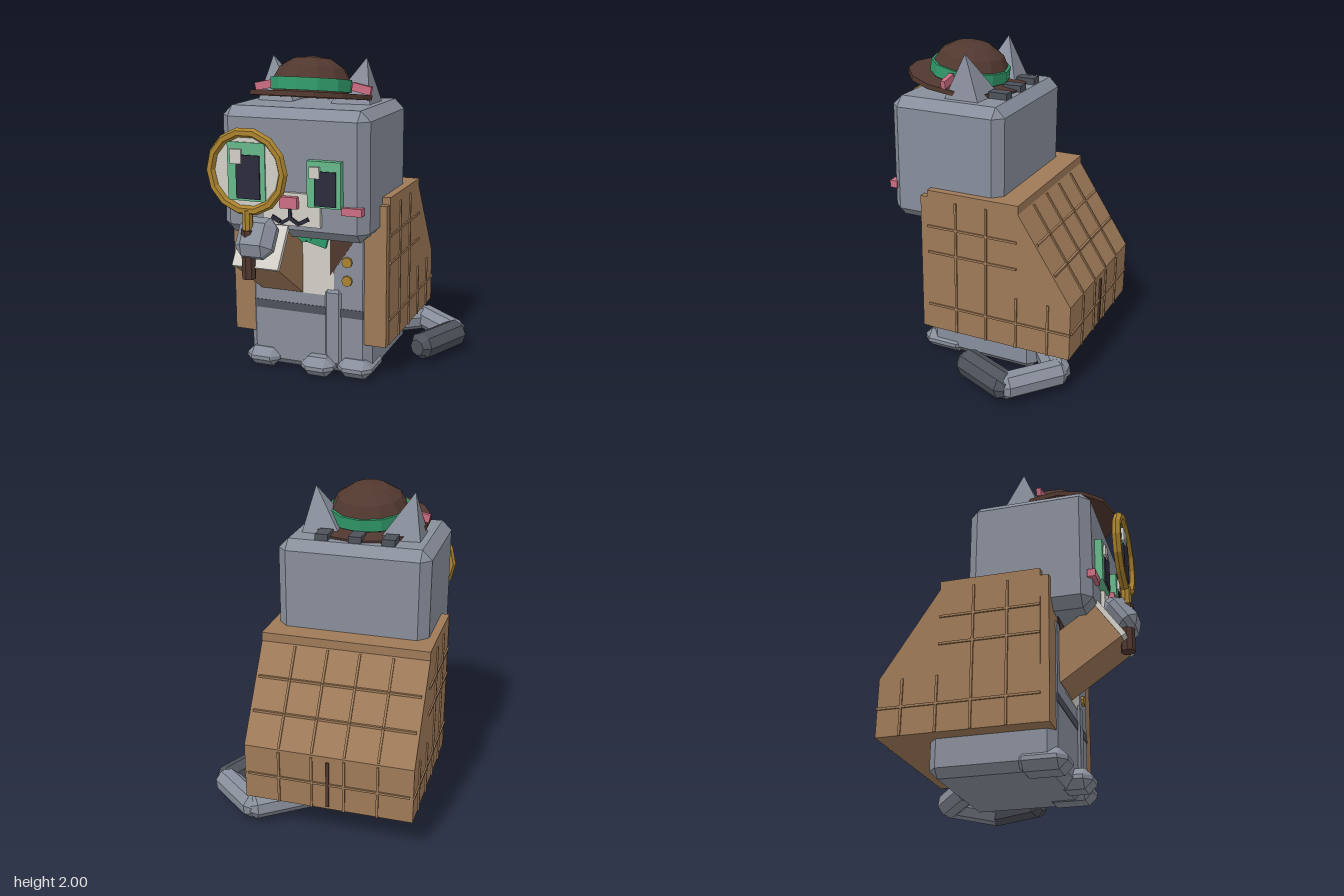
import * as THREE from 'three';
import { ConvexGeometry } from 'three/addons/geometries/ConvexGeometry.js';

const paint = (name, color) => {
  const m = new THREE.MeshStandardMaterial({ color });
  m.name = name;
  m.flatShading = true;
  return m;
};
const fur = paint('greyFur', 0x888e9b), darkFur = paint('darkFur', 0x4d525b);
const coat = paint('tanCoat', 0x9f7a58), brown = paint('darkBrown', 0x51382f);
const green = paint('green', 0x30996a), eyeGreen = paint('eyeGreen', 0x66b98a);
const cream = paint('cream', 0xd3d0c8), pink = paint('pink', 0xcd6d83);
const gold = paint('gold', 0xab832f), ink = paint('ink', 0x2c2b3c);

function add(parent, name, geo, mat, x = 0, y = 0, z = 0, rx = 0, ry = 0, rz = 0) {
  const m = new THREE.Mesh(geo, mat);
  m.name = name;
  m.position.set(x, y, z);
  m.rotation.set(rx, ry, rz);
  parent.add(m);
  return m;
}
const box = (w, h, d) => new THREE.BoxGeometry(w, h, d);
const cyl = (r, h, n) => new THREE.CylinderGeometry(r, r, h, n);

// Box with every edge and corner cut off by b
function chamferBox(w, h, d, b) {
  const pts = [];
  for (const i of [-1, 1]) for (const j of [-1, 1]) for (const k of [-1, 1]) {
    const x = w / 2, y = h / 2, z = d / 2;
    pts.push(new THREE.Vector3(i * x, j * (y - b), k * (z - b)),
      new THREE.Vector3(i * (x - b), j * y, k * (z - b)),
      new THREE.Vector3(i * (x - b), j * (y - b), k * z));
  }
  return new ConvexGeometry(pts);
}

// Eight-sided rod with bevelled ends
function rod(r, len) {
  const h = len / 2, p = [[0, -h], [0.6 * r, -h], [r, -h + 0.5 * r], [r, h - 0.5 * r], [0.6 * r, h], [0, h]];
  return new THREE.LatheGeometry(p.map(a => new THREE.Vector2(...a)), 8, Math.PI / 8);
}
function rodBetween(parent, name, mat, r, a, b) {
  const A = new THREE.Vector3(...a), B = new THREE.Vector3(...b), dir = B.clone().sub(A);
  const m = add(parent, name, rod(r, dir.length() + r), mat);
  m.position.copy(A).add(B).multiplyScalar(0.5);
  m.quaternion.setFromUnitVectors(new THREE.Vector3(0, 1, 0), dir.normalize());
}

// Blocky eye, scaled by width and height
function eye(parent, name, x, y, z, w, h, d) {
  const g = new THREE.Group();
  g.name = name;
  g.position.set(x, y, z);
  parent.add(g);
  add(g, 'iris', box(w, h, d), eyeGreen, 0, 0, d / 2);
  add(g, 'pupil', box(w * 0.63, h * 0.75, 0.009), ink, w * 0.05, -h * 0.085, d + 0.004);
  add(g, 'glint', box(w * 0.3, h * 0.25, 0.016), cream, -w * 0.25, h * 0.26, d + 0.01);
}

function buildHead(c) {
  add(c, 'head', chamferBox(0.94, 0.78, 0.755, 0.06), fur, 0, 1.33, 0.143);
  add(c, 'muzzle', box(0.37, 0.2, 0.03), cream, 0.005, 1.13, 0.53);
  add(c, 'nose', box(0.11, 0.07, 0.05), pink, 0, 1.175, 0.555);
  add(c, 'mouthMiddle', box(0.018, 0.06, 0.02), ink, 0, 1.105, 0.55);
  for (const s of [-1, 1]) {
    add(c, 'mouthInner', box(0.07, 0.02, 0.02), ink, s * 0.03, 1.06, 0.55, 0, 0, -s * 0.55);
    add(c, 'mouthOuter', box(0.06, 0.025, 0.02), ink, s * 0.09, 1.065, 0.55, 0, 0, s * 0.5);
    add(c, 'cheek', box(0.125, 0.047, 0.05), pink, s * 0.383, 1.142, 0.52);
    eye(c, 'eye', s * 0.22, 1.295, 0.52, 0.21, 0.275, 0.045);
    // Ear pyramids lean outwards
    const ear = new THREE.ConeGeometry(0.185, 0.3, 4);
    ear.rotateY(Math.PI / 4);
    add(c, 'ear', ear, fur, s * 0.28, 1.845, 0.075, 0, 0, -s * 0.2);
    add(c, 'innerEar', box(0.12, 0.05, 0.03), pink, s * 0.32, 1.815, 0.19, 0, 0, -s * 0.2);
  }
  for (const x of [-0.205, 0, 0.205])
    add(c, 'headStripe', box(0.08, 0.06, 0.12), darkFur, x, 1.73, -0.108);
}

function buildHat(c) {
  const hat = new THREE.Group();
  hat.name = 'hat';
  hat.position.set(0, 1.765, 0.205);
  hat.rotation.x = -0.14;
  c.add(hat);
  add(hat, 'brim', cyl(0.375, 0.03, 14), brown, 0, 0, 0.015);
  add(hat, 'band', cyl(0.252, 0.075, 12), green, 0, 0.062, 0);
  const p = [[0.235, 0], [0.235, 0.1], [0.2, 0.165], [0.115, 0.22], [0, 0.237]];
  add(hat, 'crown', new THREE.LatheGeometry(p.map(a => new THREE.Vector2(...a)), 12), brown);
}

function buildCoat(c) {
  // Side outline (z, y) drawn out across the width
  const s = new THREE.Shape([[0.235, 0.23], [0.235, 1.175], [-0.375, 1.175], [-0.375, 1.12], [-0.725, 0.585], [-0.725, 0.23]]
    .map(([z, y]) => new THREE.Vector2(-z, y)));
  const g = new THREE.ExtrudeGeometry(s, { depth: 1.04, bevelEnabled: false });
  g.translate(0, 0, -0.52);
  g.rotateY(Math.PI / 2);
  add(c, 'coat', g, coat);
  for (const k of [-1, 1]) {
    add(c, 'frontPanel', box(0.21, 0.9, 0.06), coat, k * 0.41, 0.68, 0.255);
    add(c, 'frontFlap', box(0.17, 0.55, 0.06), coat, k * 0.222, 0.845, 0.259);
    // Lapel
    const l = new THREE.Shape([[0.15, 0.95], [0.15, 0.66], [0.345, 0.95]].map(([x, y]) => new THREE.Vector2(k * x, y)));
    add(c, 'lapel', new THREE.ExtrudeGeometry(l, { depth: 0.008, bevelEnabled: false }), brown, 0, 0, 0.288);
    // Seams on the sides
    for (const [y, z0, z1] of [[0.94, 0.235, -0.37], [0.765, 0.235, -0.37], [0.4, 0.235, -0.73]])
      add(c, 'sideSeam', box(0.014, 0.014, z0 - z1), coat, k * 0.522, y, (z0 + z1) / 2);
    for (const [z, top] of [[0.04, 1.12], [-0.165, 1.12], [-0.37, 0.57], [-0.58, 0.57]])
      add(c, 'sideSeam', box(0.014, top - 0.23, 0.014), coat, k * 0.522, (top + 0.23) / 2, z);
  }
  // Seams over the sloped and upright back
  const slope = Math.atan2(0.35, 0.535);
  for (const x of [-0.305, -0.1, 0.1, 0.305]) {
    add(c, 'backSeam', box(0.014, 0.62, 0.014), coat, x, 0.853, -0.552, slope);
    add(c, 'backSeam', box(0.014, 0.34, 0.014), coat, x, 0.4, -0.727);
  }
  for (const [y, z] of [[0.94, -0.494], [0.765, -0.609], [0.4, -0.727]])
    add(c, 'backSeam', box(1, 0.014, 0.016), coat, 0, y, z);
  add(c, 'backVent', box(0.02, 0.3, 0.018), brown, 0, 0.4, -0.727);
  for (const y of [0.64, 0.76])
    add(c, 'button', cyl(0.034, 0.025, 8), gold, 0.265, y, 0.297, Math.PI / 2);
}

function buildBody(c) {
  add(c, 'body', chamferBox(0.83, 0.94, 0.745, 0.05), fur, 0, 0.48, -0.08);
  add(c, 'bellyStripe', box(0.74, 0.055, 0.02), darkFur, 0, 0.425, 0.286);
  add(c, 'shirt', box(0.35, 0.5, 0.02), cream, 0, 0.78, 0.285);
  // Bow tie
  add(c, 'bowKnot', box(0.06, 0.06, 0.03), green, 0, 0.91, 0.3);
  for (const s of [-1, 1]) {
    add(c, 'bowWing', box(0.13, 0.085, 0.02), green, s * 0.075, 0.895, 0.302, 0, 0, -s * 0.25);
    add(c, 'hindFoot', chamferBox(0.23, 0.125, 0.3, 0.05), fur, s * 0.315, 0.067, 0.2);
  }
  add(c, 'frontLeg', rod(0.105, 0.57), fur, 0.17, 0.32, 0.21);
  add(c, 'frontPaw', chamferBox(0.22, 0.125, 0.22, 0.05), fur, 0.08, 0.067, 0.29);
  // Curled tail
  const path = [[0.2, 0.115, -0.42], [0.5, 0.115, -0.65], [0.78, 0.115, -0.42], [0.635, 0.115, -0.1]];
  for (let i = 0; i < 3; i++)
    rodBetween(c, 'tail', i === 2 ? darkFur : fur, i === 2 ? 0.09 : 0.085, path[i], path[i + 1]);
}

function buildRaisedArm(c) {
  const arm = new THREE.Group();
  arm.name = 'raisedArm';
  arm.position.set(-0.175, 0.905, 0.603);
  arm.rotation.x = -0.6;
  c.add(arm);
  add(arm, 'sleeve', box(0.285, 0.27, 0.44), coat, 0, 0, -0.24);
  add(arm, 'cuff', box(0.3, 0.28, 0.03), cream, 0, 0, -0.012);
  add(arm, 'raisedPaw', chamferBox(0.24, 0.25, 0.15, 0.055), fur, 0, 0.026, 0.065);
}

function buildMagnifier(c) {
  const g = new THREE.Group();
  g.name = 'magnifyingGlass';
  g.position.set(-0.215, 1.365, 0.677);
  c.add(g);
  add(g, 'rim', new THREE.TorusGeometry(0.233, 0.028, 6, 14), gold);
  add(g, 'lens', cyl(0.225, 0.012, 14), cream, 0, 0, -0.01, Math.PI / 2);
  eye(g, 'magnifiedEye', 0, 0, -0.004, 0.24, 0.345, 0.008);
  add(g, 'ferrule', cyl(0.032, 0.13, 8), gold, 0, -0.29, 0);
  add(g, 'handle', cyl(0.043, 0.3, 8), brown, 0, -0.495, 0);
}

export function createModel() {
  const root = new THREE.Group();
  root.name = 'catDetective';
  // The cat's middle sits beside the origin, as the tail widens one side
  const cat = new THREE.Group();
  cat.name = 'cat';
  cat.position.x = -0.17;
  root.add(cat);
  for (const build of [buildBody, buildCoat, buildHead, buildHat, buildRaisedArm, buildMagnifier]) build(cat);
  return root;
}
